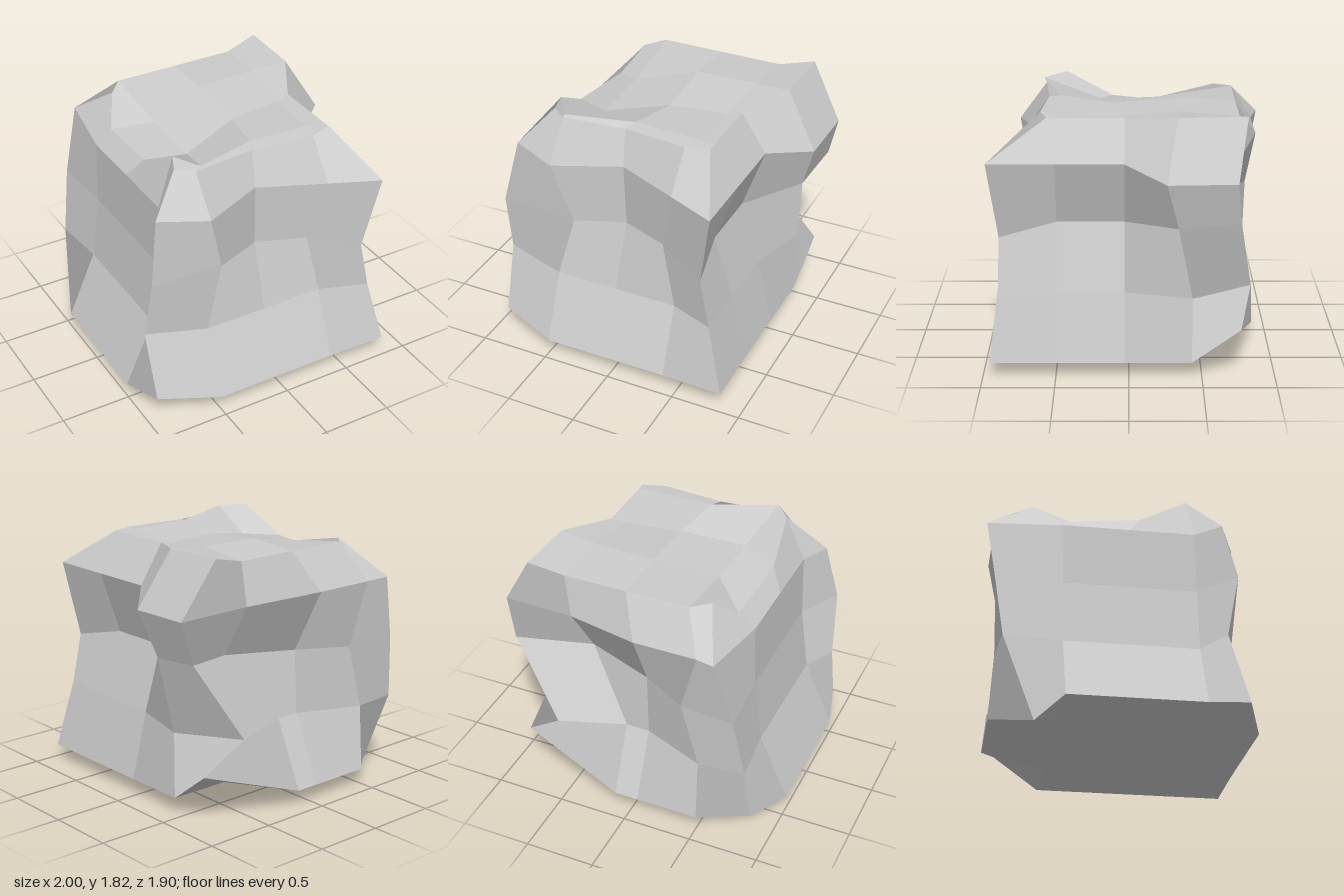
import * as THREE from 'three';

const vec = (x, y, z) => new THREE.Vector3(x, y, z);
const lerp = THREE.MathUtils.lerp;
const columns = [1, 2, 3];

// Each level of the block: height, the planes of its four walls, and the
// depth of the hollow in the middle of the front
const levels = [
  { y: 0.11, front: 0.94, right: 0.84, back: -0.89, left: -1, notch: 0 },
  { y: 0.58, front: 0.75, right: 0.72, back: -0.68, left: -0.79, notch: 0 },
  { y: 1.04, front: 0.72, right: 0.58, back: -0.67, left: -0.73, notch: 0.13 },
  { y: 1.49, front: 0.8, right: 0.74, back: -0.9, left: -0.72, notch: 0.2 },
  { y: 1.76, front: 0.6, right: 0.56, back: -0.74, left: -0.6, notch: 0.04 },
];

// The four upright corner edges, from foot to rim
const frontRightEdge = [vec(-0.92, 0.16, 0.79), vec(-0.93, 0.63, 0.65), vec(-0.91, 1.08, 0.74),
  vec(-0.83, 1.51, 0.66), vec(-0.61, 1.76, 0.51)];
const frontLeftEdge = [vec(0.84, 0.11, 0.95), vec(0.72, 0.6, 0.89), vec(0.65, 0.95, 0.88),
  vec(0.74, 1.49, 0.95), vec(0.56, 1.76, 0.55)];
const backLeftEdge = [vec(0.86, 0.36, -0.76), vec(0.58, 0.58, -0.84), vec(0.93, 1.14, -0.74),
  vec(1, 1.43, -0.71), vec(0.77, 1.82, -0.78)];
const backRightEdge = [vec(-0.8, 0, -0.61), vec(-0.83, 0.58, -0.83), vec(-0.76, 1.04, -0.89),
  vec(-0.64, 1.51, -0.95), vec(-0.49, 1.75, -0.62)];

// Level r as a ring of 16 points: front, +x side, back, -x side
function makeRing({ y, front, right, back, left, notch }, r) {
  const rim = r === 4;
  const pinch = r === 2 ? 0.75 : 1; // the waist draws the columns together
  const x = (i) => (0.45 * i - 0.95) * pinch;
  const z = (k) => 0.95 - 0.46 * k;
  const ring = [
    frontRightEdge[r],
    ...columns.map((i) => vec(x(i), y, front - (i === 2 ? notch : 0))),
    frontLeftEdge[r],
    ...columns.map((k) => vec(right, y, z(k))),
    backLeftEdge[r],
    ...columns.map((k) => vec(x(4 - k) + (rim ? 0.12 : 0), y, back)),
    backRightEdge[r],
    ...columns.map((k) => vec(left, y, z(4 - k))),
  ];
  // buttress beside the back left corner, and the back rib
  if (r > 1) ring[7].copy(backLeftEdge[r]).add(vec(-0.01, -0.01, 0.46));
  if (r > 0 && !rim) ring[11].z = Math.min(back, -0.86);
  return ring;
}

// 5 x 5 cap grid blended between the points of a border ring
function capGrid(ring) {
  const grid = Array.from({ length: 5 }, () => []);
  for (let i = 0; i < 4; i++) {
    grid[0][i] = ring[i];
    grid[i][4] = ring[4 + i];
    grid[4][4 - i] = ring[8 + i];
    grid[4 - i][0] = ring[12 + i];
  }
  for (const k of columns) {
    for (const i of columns) {
      const [f, b, l, r] = [grid[0][i], grid[4][i], grid[k][0], grid[k][4]];
      const y = (lerp(f.y, b.y, k / 4) + lerp(l.y, r.y, i / 4)) / 2;
      grid[k][i] = vec(lerp(f.x, b.x, k / 4), y, lerp(l.z, r.z, i / 4));
    }
  }
  return grid;
}

export function createModel() {
  const positions = [];
  const normals = [];

  // One facet a-b-c-d of a single shade, split along b-d or a-c
  const quad = (a, b, c, d, splitBD) => {
    const n = c.clone().sub(a).cross(d.clone().sub(b)).normalize();
    for (const p of splitBD ? [a, b, d, b, c, d] : [a, b, c, a, c, d]) {
      positions.push(p.x, p.y, p.z);
      normals.push(n.x, n.y, n.z);
    }
  };

  const rings = levels.map(makeRing);

  // chips and bumps on the walls
  rings[0][9].x = 0.12;
  rings[1][9].x = 0.12;
  rings[1][7].x = 0.84;
  rings[2][7].set(0.89, 1.09, -0.33);
  // undercut beneath the back of the rim
  rings[2][9].set(0.45, 1.06, -0.5);
  rings[3][9].set(0.48, 1.45, -0.75);
  // sagging side of the rim, ending in a peak
  rings[4][13].y = 1.58;
  rings[4][14].set(-0.63, 1.63, 0.12);
  rings[4][15].set(-0.59, 1.82, 0.455);

  // side walls
  for (let r = 0; r < 4; r++) {
    for (let i = 0; i < 16; i++) {
      const j = (i + 1) % 16;
      quad(rings[r][i], rings[r][j], rings[r + 1][j], rings[r + 1][i], true);
    }
  }

  // caps, with the diagonals running outward to the corners
  const addCap = (grid, up) => {
    for (let k = 0; k < 4; k++) {
      for (let i = 0; i < 4; i++) {
        const [a, b, c, d] = [grid[k][i], grid[k][i + 1], grid[k + 1][i + 1], grid[k + 1][i]];
        const splitBD = (i < 2) !== (k < 2);
        if (up) quad(a, b, c, d, splitBD);
        else quad(a, d, c, b, splitBD);
      }
    }
  };

  // flat base
  const base = capGrid(rings[0]);
  columns.forEach((k) => columns.forEach((i) => {
    base[k][i].set(0.45 * i - 0.95, levels[0].y, 0.95 - 0.46 * k);
  }));
  addCap(base, false);

  // uneven top: a lip over the front, a dip on one side, a rise at the back
  const top = capGrid(rings[4]);
  top[1][1].set(-0.47, 1.8, 0.62);
  top[2][1].set(-0.37, 1.66, 0.24);
  top[2][2].set(0.06, 1.74, 0.11);
  top[3][1].set(-0.37, 1.68, -0.22);
  top[3][2].set(0.06, 1.78, -0.35);
  top[3][3].set(0.5, 1.79, -0.35);
  addCap(top, true);

  const geometry = new THREE.BufferGeometry();
  geometry.setAttribute('position', new THREE.Float32BufferAttribute(positions, 3));
  geometry.setAttribute('normal', new THREE.Float32BufferAttribute(normals, 3));

  const rock = new THREE.Mesh(geometry, new THREE.MeshStandardMaterial({ color: 0xcccccc }));
  rock.name = 'rock';
  const group = new THREE.Group();
  group.name = 'boulder';
  group.add(rock);
  return group;
}
